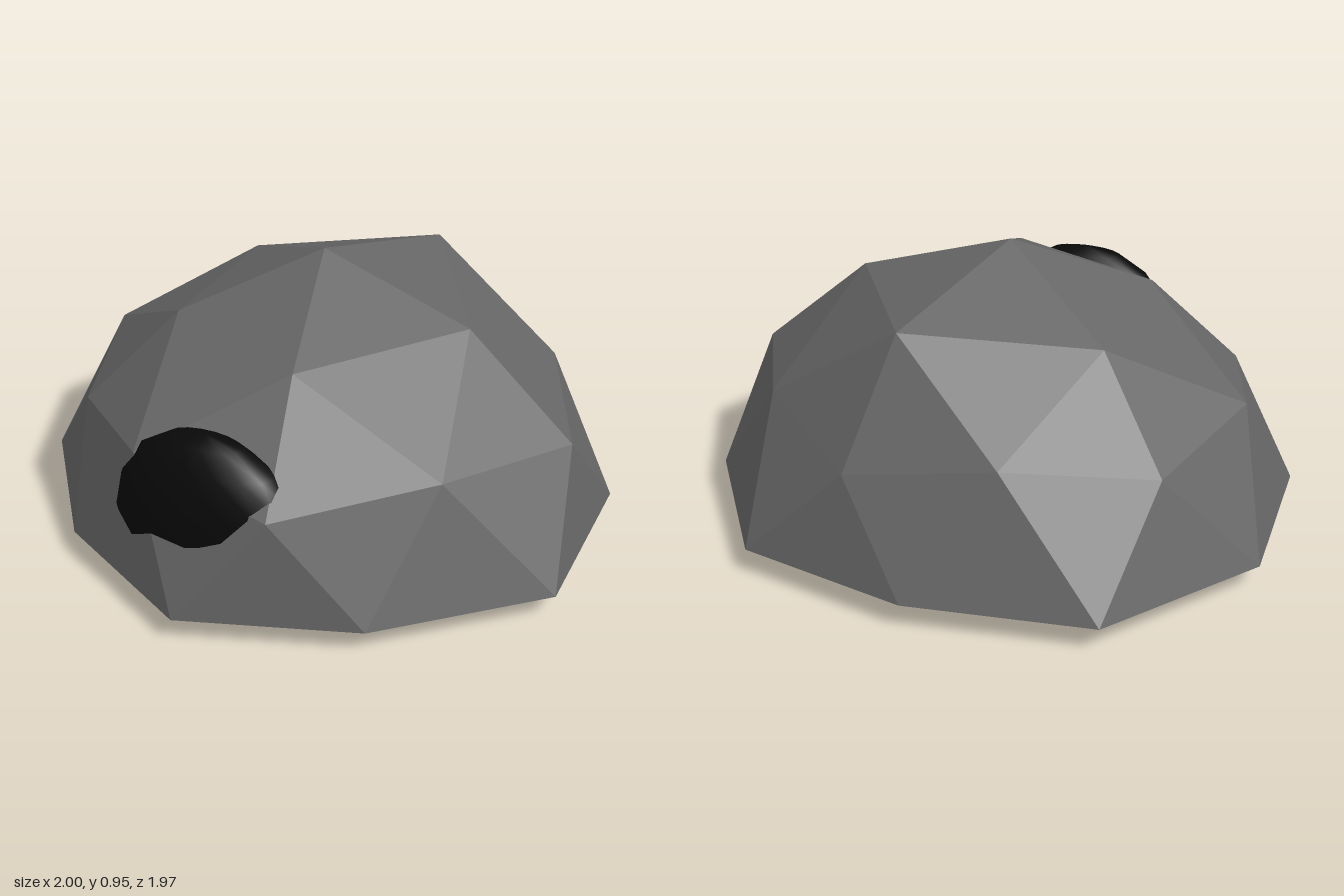
import * as THREE from 'three';

// Rings of the faceted dome, counted round from +x towards +z
const apex = [-0.02, 0.95, -0.04];
const crown = [[0.52, 0.78, -0.04], [0.13, 0.75, 0.45], [-0.42, 0.75, 0.25], [-0.45, 0.74, -0.33], [0.15, 0.81, -0.59]];
const spokes = [[0.90, 0.45, -0.04], [0.25, 0.45, 0.84], [-0.69, 0.43, 0.43], [-0.72, 0.44, -0.55], [0.23, 0.42, -0.85]];
const between = [[0.66, 0.50, 0.45], [-0.27, 0.52, 0.775], [-0.85, 0.49, -0.04], [-0.27, 0.50, -0.79], [0.64, 0.49, -0.52]];
const foot = [[1.0, 0.29], [0.55, 0.75], [-0.02, 0.98], [-0.57, 0.72], [-0.95, 0.26],
  [-1.0, -0.36], [-0.64, -0.89], [-0.02, -0.99], [0.58, -0.87], [0.94, -0.36]].map(([x, z]) => [x, 0.085, z]);

function facets(triangles) {
  const geometry = new THREE.BufferGeometry();
  geometry.setAttribute('position', new THREE.Float32BufferAttribute(triangles.flat(2), 3));
  geometry.computeVertexNormals();
  return geometry;
}

function domeGeometry() {
  const tris = [];
  for (let i = 0; i < 5; i++) {
    const j = (i + 1) % 5;
    const before = foot[(2 * i + 9) % 10], a = foot[2 * i], b = foot[2 * i + 1];
    tris.push(
      [apex, crown[j], crown[i]],
      [crown[i], between[i], spokes[i]],
      [crown[i], crown[j], between[i]],
      [crown[j], spokes[j], between[i]],
      [spokes[i], a, before],
      [spokes[i], between[i], a],
      [between[i], b, a],
      [between[i], spokes[j], b]
    );
  }
  return facets(tris);
}

// Flat underside, a fan round the middle
function baseGeometry() {
  return facets(foot.map((p, i) => [[0, 0.085, 0], p, foot[(i + 1) % 10]]));
}

export function createModel() {
  const stone = new THREE.MeshStandardMaterial({ color: 0x666666 });
  stone.name = 'grey stone';
  stone.flatShading = true;
  const dark = new THREE.MeshStandardMaterial({ color: 0x090909 });
  dark.name = 'black';

  const model = new THREE.Group();
  model.name = 'rockDen';
  const add = (name, geometry, material) => {
    const mesh = new THREE.Mesh(geometry, material);
    mesh.name = name;
    model.add(mesh);
    return mesh;
  };
  add('rockDome', domeGeometry(), stone);
  add('rockBase', baseGeometry(), stone);

  // Dark opening, a flattened ball sunk into the front
  const opening = add('opening', new THREE.SphereGeometry(1, 16, 8), dark);
  opening.scale.set(0.34, 0.32, 0.152);
  opening.position.set(-0.02, 0.32, 0.735);
  return model;
}
